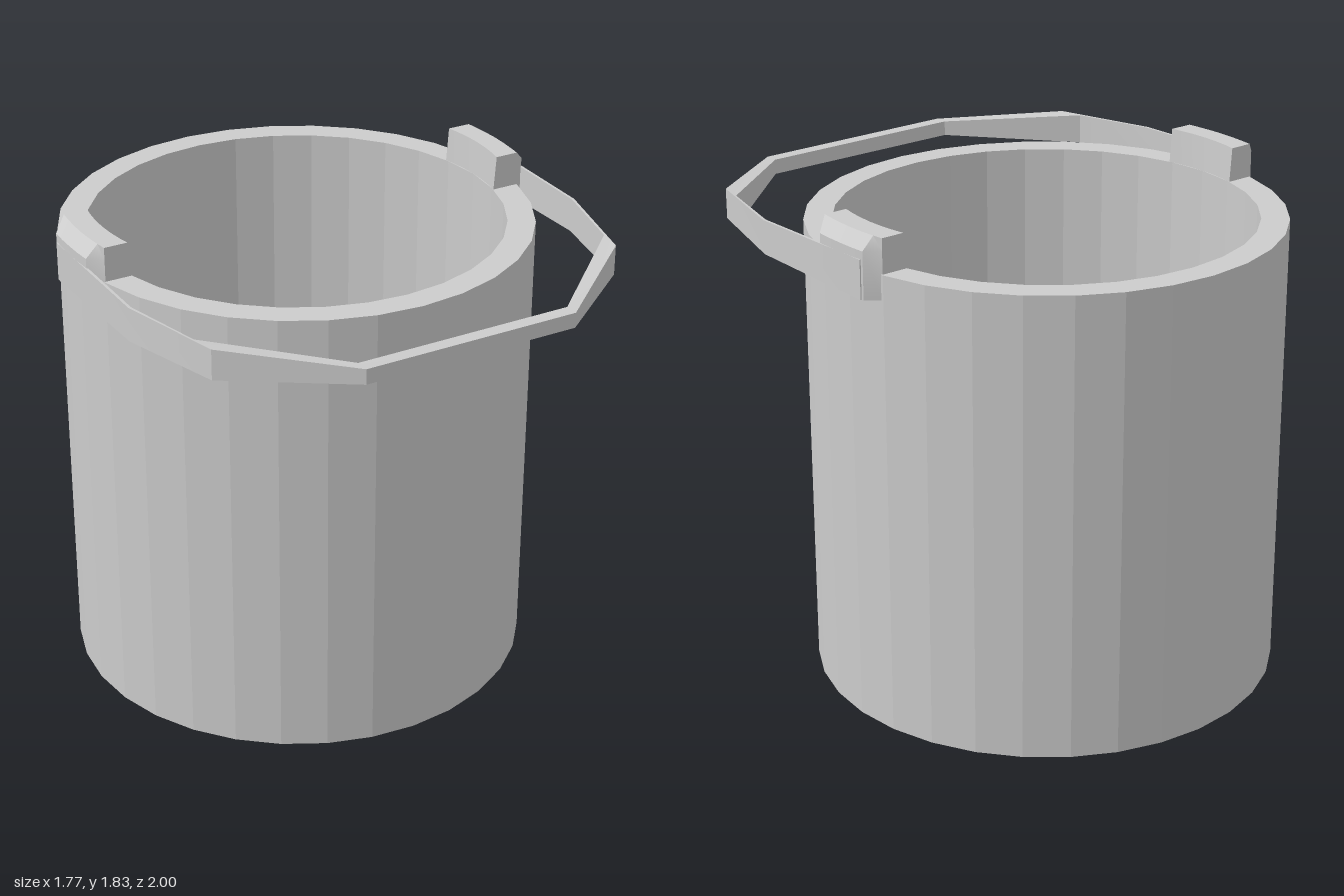
import * as THREE from 'three';
import { toCreasedNormals } from 'three/addons/utils/BufferGeometryUtils.js';

// Closed solid through a list of cross-sections (rows of [x, y, z], counterclockwise about the path)
function loft(rows) {
  const n = rows[0].length, pos = [];
  const tri = (a, b, c) => pos.push(...a, ...b, ...c);
  for (let i = 0; i < rows.length - 1; i++) {
    for (let j = 0; j < n; j++) {
      const k = (j + 1) % n;
      tri(rows[i][j], rows[i][k], rows[i + 1][k]);
      tri(rows[i][j], rows[i + 1][k], rows[i + 1][j]);
    }
  }
  const first = rows[0], last = rows[rows.length - 1];
  for (let j = 1; j < n - 1; j++) {
    tri(first[0], first[j + 1], first[j]);
    tri(last[0], last[j], last[j + 1]);
  }
  const g = new THREE.BufferGeometry();
  g.setAttribute('position', new THREE.Float32BufferAttribute(pos, 3));
  return toCreasedNormals(g, 0.6);
}

export function createModel() {
  const group = new THREE.Group();
  const grey = new THREE.MeshStandardMaterial({ color: 0xcccccc });
  const faceted = new THREE.MeshStandardMaterial({ color: 0xcccccc, flatShading: true });
  const centreZ = -0.15;
  const add = (name, geometry, material) => {
    const mesh = new THREE.Mesh(geometry, material);
    mesh.name = name;
    group.add(mesh);
    return mesh;
  };

  // Bucket: thick wall, open top
  const profile = [[0, 0], [0.85, 0], [0.85, 1.7], [0.75, 1.7], [0.75, 0.1], [0, 0.1]]
    .map(([r, y]) => new THREE.Vector2(r, y));
  add('bucket', new THREE.LatheGeometry(profile, 32), faceted).position.z = centreZ;

  // Handle: half the stations [inner x, inner z, outer x, outer z, low y, high y], mirrored
  const half = [
    [0, 0.95, 0, 1, 1.65, 1.705],
    [0.4, 0.95, 0.4, 1, 1.65, 1.705],
    [0.8, 0.6, 0.785, 0.69, 1.625, 1.735],
    [0.875, 0.3, 0.885, 0.3, 1.617, 1.74],
    [0.875, -0.26, 0.885, -0.26, 1.61, 1.75],
  ];
  const mirrored = half.slice(1).reverse().map(([a, b, c, ...rest]) => [-a, b, -c, ...rest]);
  const handleRows = [...mirrored, ...half].map(([xi, zi, xo, zo, lo, hi]) =>
    [[xi, lo, zi], [xi, hi, zi], [xo, hi, zo], [xo, lo, zo]]);
  add('handle', loft(handleRows), grey);

  // Clips hooked over the rim: stations [z offset, outer x, top outer x]
  const stations = [
    [-0.16, 0.83, 0.83], [-0.12, 0.88, 0.835], [-0.06, 0.884, 0.84], [0, 0.885, 0.842],
    [0.06, 0.884, 0.84], [0.12, 0.88, 0.835], [0.16, 0.83, 0.83],
  ];
  for (const side of [1, -1]) {
    const rows = stations.map(([dz, xo, xt]) => {
      const xi = Math.sqrt(0.75 ** 2 - dz * dz); // follows the inner wall
      const row = [[xi, 1.69], [xo, 1.61], [xo, 1.78], [xt, 1.825], [xi + 0.01, 1.825]]
        .map(([x, y]) => [side * x, y, centreZ + dz]);
      return side > 0 ? row : row.reverse();
    });
    add(side > 0 ? 'leftClip' : 'rightClip', loft(rows), grey);
  }
  return group;
}
